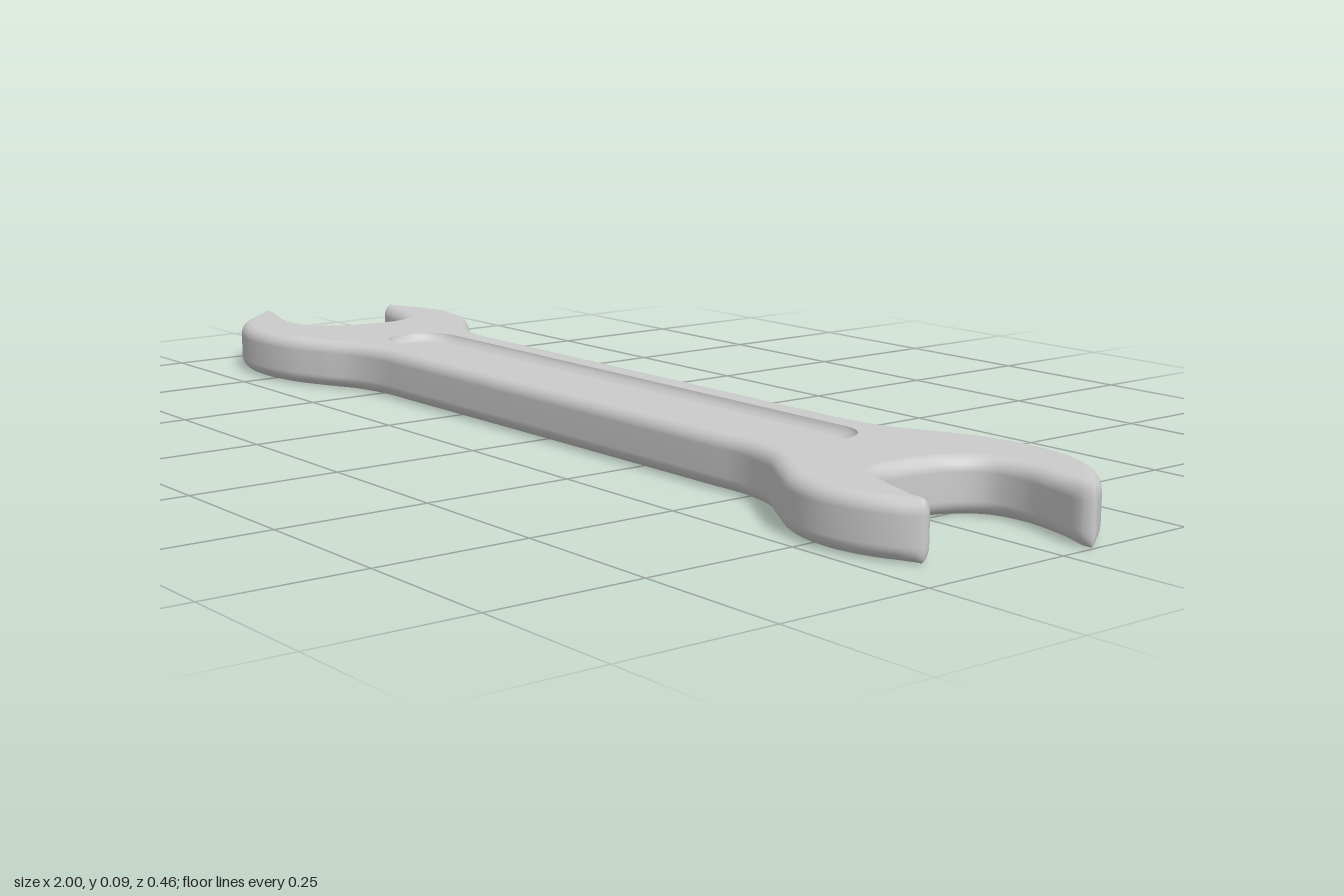
import * as THREE from 'three';

const T = 0.086;        // thickness
const BEVEL = 0.022;    // rounding of the outer edge
const DEPTH = 0.014;    // recess depth
const ARC = 6;          // steps in the rounded edge

// Half of the outline (x, z); the other half is the same turned by 180 degrees
const HALF = [
  [0.40, -0.12], [0.49, -0.121], [0.556, -0.134], [0.62, -0.163], [0.69, -0.19],
  [0.77, -0.201], [0.845, -0.193], [0.91, -0.165], [0.957, -0.123], [0.992, -0.078],
  [0.999, -0.06], [0.984, -0.051], [0.914, -0.068], [0.85, -0.08], [0.797, -0.072],
  [0.765, -0.037], [0.75, 0.03], [0.75, 0.075], [0.77, 0.107], [0.818, 0.129],
  [0.877, 0.147], [0.912, 0.16], [0.92, 0.175], [0.904, 0.194], [0.85, 0.22],
  [0.775, 0.231], [0.70, 0.215], [0.636, 0.178], [0.572, 0.14], [0.50, 0.121], [0.40, 0.12],
];

// Band of quads through equal-length closed loops of Vector3
function band(loops) {
  const n = loops[0].length, index = [];
  for (let k = 0; k < loops.length - 1; k++) {
    for (let i = 0; i < n; i++) {
      const j = (i + 1) % n, a = k * n + i, b = k * n + j, c = a + n, d = b + n;
      index.push(a, c, d, a, d, b);
    }
  }
  const g = new THREE.BufferGeometry().setFromPoints(loops.flat());
  g.setIndex(index);
  g.computeVertexNormals();
  return g;
}

// Flat face at height y, looking up (dir 1) or down (dir -1)
function face(loop, y, dir, hole) {
  const flat = (pts) => pts.map((p) => new THREE.Vector2(p.x, -dir * p.z));
  const shape = new THREE.Shape(flat(loop));
  if (hole) shape.holes.push(new THREE.Path(flat(hole)));
  return new THREE.ShapeGeometry(shape).rotateX(-dir * Math.PI / 2).translate(0, y, 0);
}

// Smooth outline with, at each point, an inward normal and a safe bevel width
function outline() {
  const pts = [...HALF, ...HALF.map(([x, z]) => [-x, -z])].map(([x, z]) => new THREE.Vector3(x, 0, z));
  const curve = new THREE.CatmullRomCurve3(pts, true, 'centripetal');
  const n = pts.length * 8;
  const list = Array.from({ length: n }, (_, i) => {
    const t = curve.getTangent(i / n);
    return { p: curve.getPoint(i / n), inward: new THREE.Vector3(-t.z, 0, t.x).normalize() };
  });
  // the bevel narrows where the largest circle inside the outline is small
  const d = new THREE.Vector3();
  for (const s of list) {
    s.width = BEVEL;
    for (const o of list) {
      const depth = d.subVectors(o.p, s.p).dot(s.inward);
      if (depth > 1e-6) s.width = Math.min(s.width, 0.8 * d.lengthSq() / (2 * depth));
    }
  }
  return list;
}

// Rounded slot loop of the given half width, at height y
function slot(r, y) {
  const pts = [], steps = 24, cx = 0.52;
  for (const side of [1, -1]) {
    for (let i = 0; i <= steps; i++) {
      const a = -Math.PI / 2 + (i / steps) * Math.PI;
      pts.push(new THREE.Vector3(side * (cx + r * Math.cos(a)), y, side * r * Math.sin(a)));
    }
  }
  return pts;
}

export function createModel() {
  const group = new THREE.Group();
  group.name = 'openEndWrench';
  const material = new THREE.MeshStandardMaterial({ color: 0xcccccc });
  const add = (name, geometry) => {
    const mesh = new THREE.Mesh(geometry, material);
    mesh.name = name;
    group.add(mesh);
  };

  // Outer edge with rounded top and bottom
  const line = outline();
  const ring = (inset, y) => line.map((s) => s.p.clone().addScaledVector(s.inward, s.width * inset).setY(y));
  const lower = [], upper = [];
  for (let k = 0; k <= ARC; k++) {
    const a = (k / ARC) * Math.PI / 2;
    const inset = 1 - Math.sin(a), y = BEVEL * (1 - Math.cos(a));
    lower.push(ring(inset, y));
    upper.unshift(ring(inset, T - y));
  }
  add('roundedEdge', band([...lower, ...upper]));

  // Flat faces, each with a shallow recess along the handle
  const R = 0.065;
  for (const [side, y, dir] of [['top', T, 1], ['bottom', 0, -1]]) {
    add(side + 'Face', face(ring(1, 0), y, dir, slot(R, 0)));
    const walls = [0, 0.35, 0.75, 1].map((t) => slot(R - 0.012 * t * t, y - dir * DEPTH * t));
    if (dir < 0) walls.reverse();
    add(side + 'RecessWall', band(walls));
    add(side + 'RecessFloor', face(slot(R - 0.012, 0), y - dir * DEPTH, dir));
  }
  return group;
}
